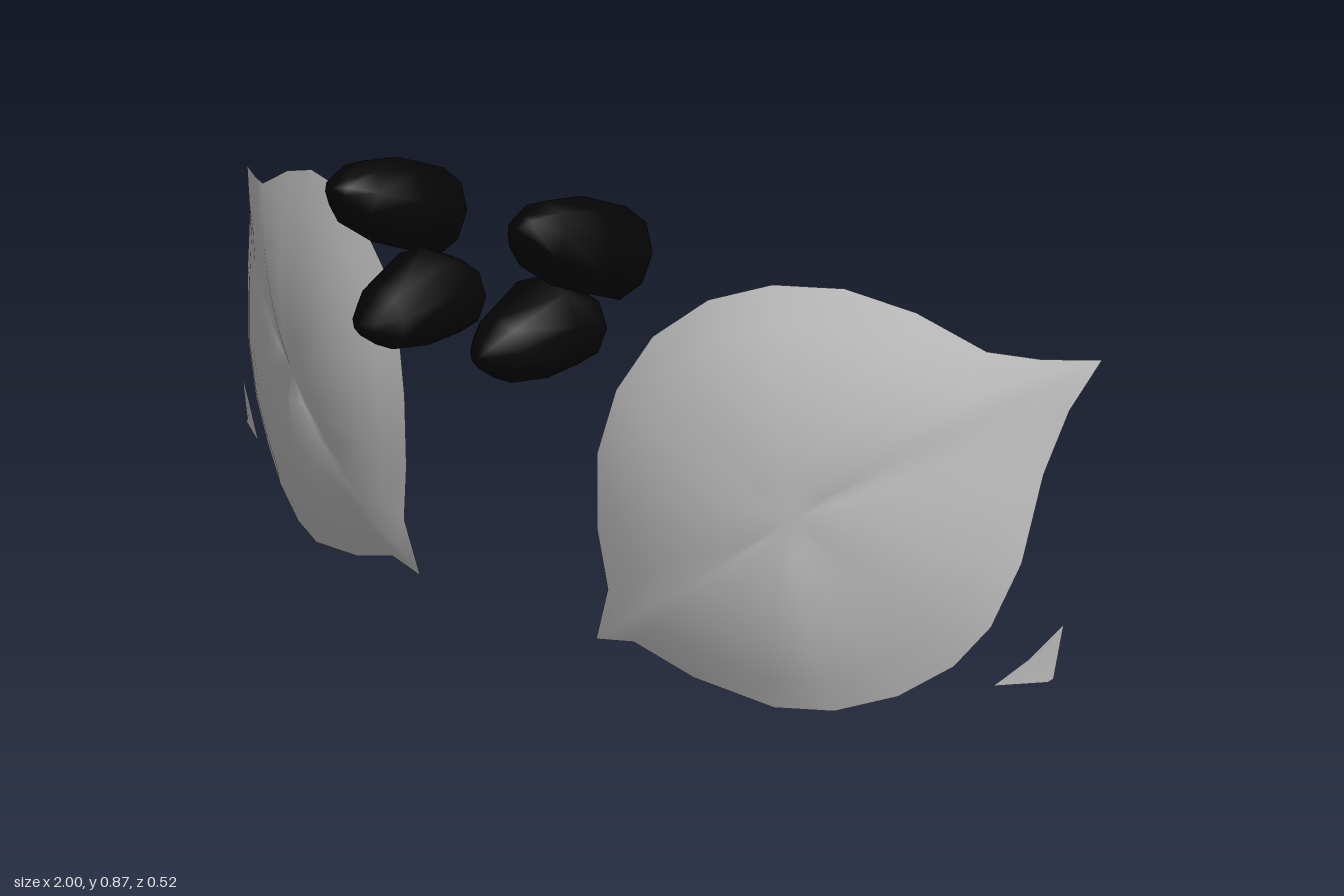
import * as THREE from 'three';
import { mergeVertices } from 'three/addons/utils/BufferGeometryUtils.js';

const grey = new THREE.MeshStandardMaterial({ color: 0xcccccc, side: THREE.DoubleSide });
const black = new THREE.MeshStandardMaterial({ color: 0x050505 });

// Skin closed loops of [x, y, z] points; side -1 mirrors in x and keeps faces outward
function loft(name, rings, material, side) {
  const n = rings[0].length, index = [];
  for (let i = 0; i < rings.length - 1; i++) {
    for (let j = 0; j < n; j++) {
      const a = i * n + j, b = i * n + (j + 1) % n, c = a + n, d = b + n;
      if (side > 0) index.push(a, c, b, b, c, d);
      else index.push(a, b, c, b, d, c);
    }
  }
  let g = new THREE.BufferGeometry();
  g.setAttribute('position', new THREE.Float32BufferAttribute(
    rings.flat().flatMap(([x, y, z]) => [x * side, y, z]), 3));
  g.setIndex(index);
  g = mergeVertices(g);
  g.computeVertexNormals();
  const mesh = new THREE.Mesh(g, material);
  mesh.name = name;
  return mesh;
}

// Curved sheet: rings from a centre point out to an outline, bulging forward
function sheet(name, outline, centre, bulge, steps, side) {
  const rings = [];
  for (let i = 0; i <= steps; i++) {
    const s = i / steps;
    rings.push(outline.map(p => {
      const q = p.map((v, k) => centre[k] + (v - centre[k]) * s);
      q[2] += bulge * s * (1 - s);
      return q;
    }));
  }
  return loft(name, rings, grey, side);
}

// Blunt pod pointing forward; section = [topY, topZ, bottomY, bottomZ, halfWidth]
function pod(name, cx, sections, side) {
  const n = 9;
  const rings = sections.map(([ty, tz, by, bz, w]) => Array.from({ length: n }, (_, j) => {
    const a = j / n * Math.PI * 2, c = Math.cos(a);
    return [cx + w * Math.sin(a), (ty + by) / 2 + c * (ty - by) / 2, (tz + bz) / 2 + c * (tz - bz) / 2];
  }));
  return loft(name, rings, black, side);
}

// Large panel outline, counterclockwise from the outer upper corner
const panel = [
  [1, 0.66, -0.26], [0.92, 0.655, -0.213], [0.848, 0.664, -0.165], [0.735, 0.714, -0.13],
  [0.623, 0.741, -0.09], [0.51, 0.735, -0.048], [0.409, 0.698, -0.009], [0.318, 0.623, 0.022],
  [0.259, 0.521, 0.045], [0.231, 0.404, 0.06], [0.231, 0.265, 0.058], [0.249, 0.152, 0.048],
  [0.217, 0.045, 0.04], [0.297, 0.061, 0.033], [0.414, 0.022, 0.012], [0.564, 0.001, -0.02],
  [0.66, 0.011, -0.06], [0.757, 0.054, -0.103], [0.837, 0.12, -0.142], [0.89, 0.2, -0.163],
  [0.928, 0.318, -0.181], [0.944, 0.47, -0.202], [0.965, 0.575, -0.232],
];
const shard = [
  [0.992, 0.217, -0.217], [0.944, 0.147, -0.197], [0.896, 0.093, -0.172],
  [0.975, 0.111, -0.21], [0.981, 0.117, -0.217],
];

const upper = [
  [0.743, -0.008, 0.743, -0.008, 0],
  [0.82, -0.031, 0.665, 0.015, 0.076],
  [0.86, 0.086, 0.705, 0.13, 0.084],
  [0.868, 0.175, 0.76, 0.217, 0.06],
  [0.852, 0.227, 0.812, 0.246, 0.028],
  [0.833, 0.249, 0.833, 0.249, 0],
];
const lower = [
  [0.605, 0.02, 0.605, 0.02, 0],
  [0.67, 0.004, 0.541, 0.037, 0.076],
  [0.712, 0.1, 0.536, 0.12, 0.086],
  [0.662, 0.215, 0.547, 0.2, 0.06],
  [0.627, 0.25, 0.58, 0.25, 0.028],
  [0.602, 0.264, 0.602, 0.264, 0],
];

export function createModel() {
  const model = new THREE.Group();
  model.name = 'facePieces';
  for (const [label, side] of [['left', 1], ['right', -1]]) {
    const half = new THREE.Group();
    half.name = label + 'Half';
    half.add(
      sheet(label + 'EyePanel', panel, [0.6, 0.36, 0], 0.1, 6, side),
      sheet(label + 'CornerShard', shard, [0.96, 0.135, -0.203], 0, 1, side),
      pod(label + 'UpperPod', 0.213, upper, side),
      pod(label + 'LowerPod', 0.14, lower, side),
    );
    model.add(half);
  }
  return model;
}
